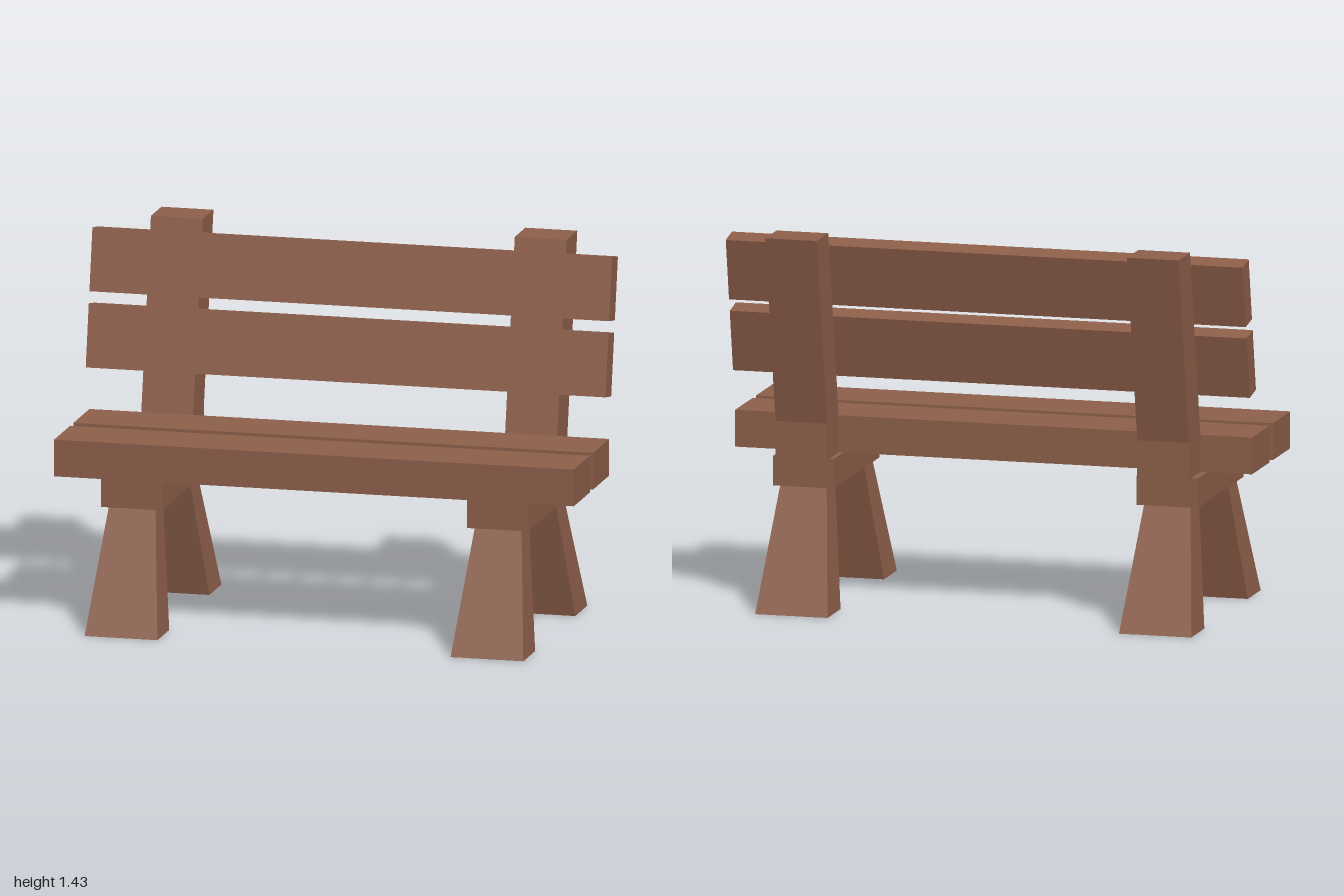
import * as THREE from 'three';

export function createModel() {
  const bench = new THREE.Group();
  bench.name = 'bench';
  const wood = new THREE.MeshStandardMaterial({ color: 0x8f604b, flatShading: true });

  function add(name, geometry, x = 0, y = 0, z = 0) {
    const mesh = new THREE.Mesh(geometry, wood);
    mesh.name = name;
    mesh.position.set(x, y, z);
    bench.add(mesh);
    return mesh;
  }

  // Side profile given as [z, y] points, extruded across x and centred
  function sideExtrude(points, width) {
    const shape = new THREE.Shape(points.map(([z, y]) => new THREE.Vector2(z, y)));
    return new THREE.ExtrudeGeometry(shape, { depth: width, bevelEnabled: false })
      .translate(0, 0, -width / 2)
      .rotateY(-Math.PI / 2);
  }

  // Splayed leg: narrow at the top, wide at the foot; z ranges are [back, front]
  function legGeometry(top, foot) {
    const height = 0.46;
    const geometry = new THREE.BoxGeometry(1, height, 1).translate(0, height / 2, 0);
    const pos = geometry.attributes.position;
    for (let i = 0; i < pos.count; i++) {
      const isTop = pos.getY(i) > height / 2;
      const range = isTop ? top : foot;
      pos.setX(i, Math.sign(pos.getX(i)) * (isTop ? 0.09 : 0.14));
      pos.setZ(i, pos.getZ(i) > 0 ? range[1] : range[0]);
    }
    geometry.computeVertexNormals();
    return geometry;
  }

  // Seat planks
  add('frontSeatPlank', new THREE.BoxGeometry(2, 0.14, 0.24), 0, 0.642, 0.228);
  add('rearSeatPlank', new THREE.BoxGeometry(2, 0.14, 0.24), 0, 0.642, -0.06);

  // Tilted backrest slats, lying against the front of the posts
  const slat = (z, y) => sideExtrude(
    [[z, y], [z - 0.085, y - 0.016], [z - 0.04, y - 0.25], [z + 0.045, y - 0.235]], 2);
  add('upperBackSlat', slat(-0.225, 1.397));
  add('lowerBackSlat', slat(-0.17, 1.118));

  // Supports at both ends
  const post = sideExtrude([
    [-0.178, 0.57], [-0.178, 0.71], [-0.322, 1.43],
    [-0.48, 1.43], [-0.337, 0.71], [-0.337, 0.57],
  ], 0.2);
  const frontLeg = legGeometry([0.2, 0.315], [0.305, 0.482]);
  const rearLeg = legGeometry([-0.308, -0.19], [-0.475, -0.295]);
  for (const [side, postX, legX] of [['left', 0.7, 0.7], ['right', -0.7, -0.708]]) {
    add(side + 'BackPost', post, postX);
    add(side + 'SeatBearer', new THREE.BoxGeometry(0.236, 0.112, 0.63), legX, 0.515, 0.006);
    add(side + 'FrontLeg', frontLeg, legX);
    add(side + 'RearLeg', rearLeg, legX);
  }

  return bench;
}
